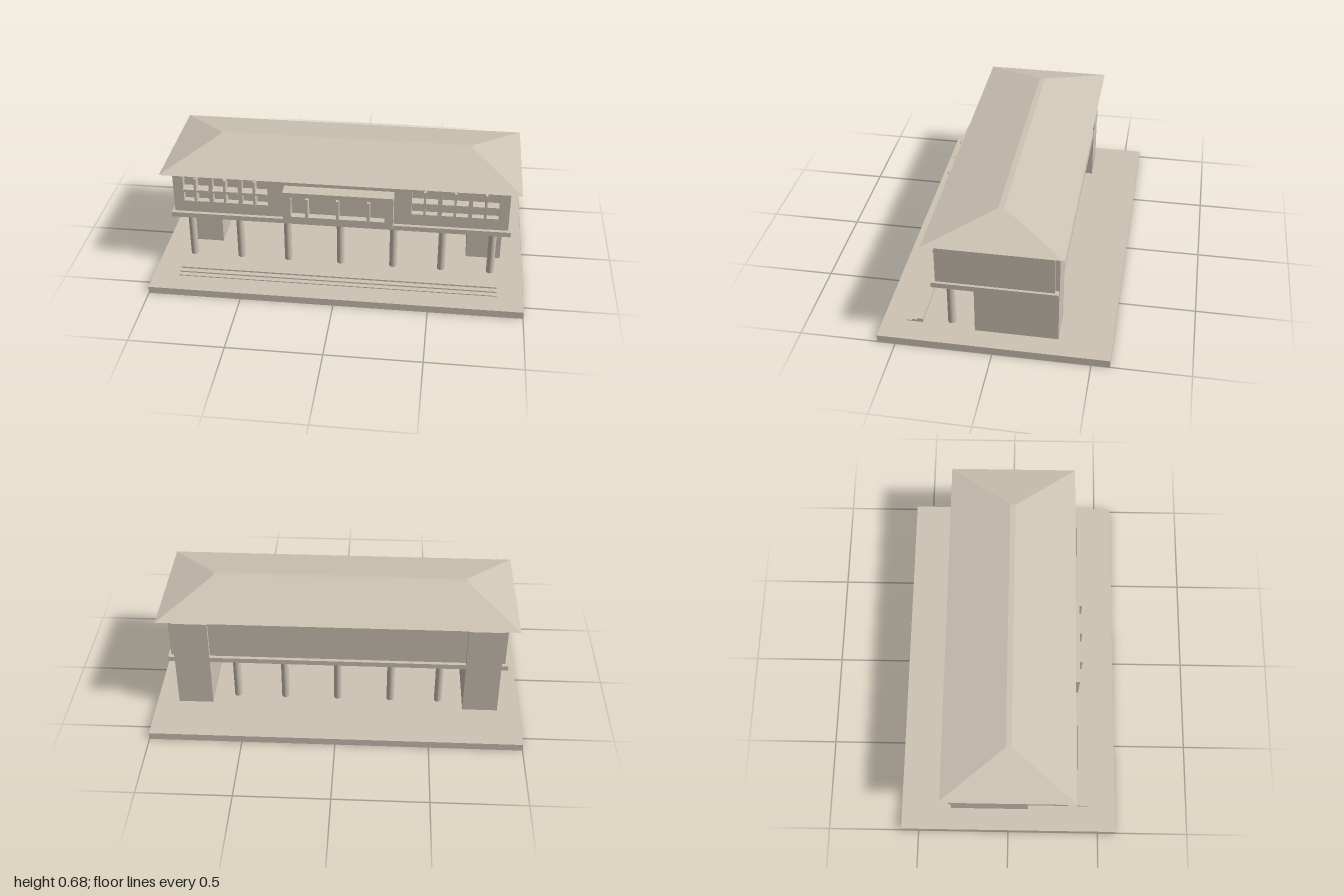
import * as THREE from 'three';

const stone = new THREE.MeshStandardMaterial({ color: 0xcdc4b4 });
stone.name = 'warm stone';

export function createModel() {
  const model = new THREE.Group();
  model.name = 'pavilion';

  const add = (name, geometry) => {
    const mesh = new THREE.Mesh(geometry, stone);
    mesh.name = name;
    model.add(mesh);
    return mesh;
  };
  // Box given by its minimum and maximum on each axis
  const box = (name, x0, x1, y0, y1, z0, z1) => {
    const mesh = add(name, new THREE.BoxGeometry(x1 - x0, y1 - y0, z1 - z0));
    mesh.position.set((x0 + x1) / 2, (y0 + y1) / 2, (z0 + z1) / 2);
    return mesh;
  };
  // Upright plate with rectangular openings, each [x0, x1, y0, y1]
  const trace = (path, [x0, x1, y0, y1]) => {
    path.moveTo(x0, y0);
    path.lineTo(x1, y0);
    path.lineTo(x1, y1);
    path.lineTo(x0, y1);
    path.closePath();
    return path;
  };
  const piercedPlate = (name, outline, openings, z0, z1) => {
    const shape = trace(new THREE.Shape(), outline);
    openings.forEach((o) => shape.holes.push(trace(new THREE.Path(), o)));
    const geometry = new THREE.ExtrudeGeometry(shape, { depth: z1 - z0, bevelEnabled: false });
    add(name, geometry).position.z = z0;
  };

  // Ground plinth and the long front steps
  box('plinth', -1, 1, 0, 0.04, -0.595, 0.595);
  box('upperStep', -0.86, 0.86, 0.04, 0.06, 0.387, 0.417);
  box('middleStep', -0.86, 0.86, 0.04, 0.052, 0.417, 0.445);
  box('lowerStep', -0.86, 0.86, 0.04, 0.045, 0.445, 0.472);

  // Columns: seven in front, five between the rear blocks
  const columnX = [-0.825, -0.557, -0.292, 0, 0.292, 0.557, 0.825];
  const column = (name, x, z) =>
    add(name, new THREE.CylinderGeometry(0.021, 0.021, 0.28, 24)).position.set(x, 0.18, z);
  columnX.forEach((x) => column('frontColumn', x, 0.24));
  columnX.slice(1, -1).forEach((x) => column('rearColumn', x, -0.24));

  // Ground-floor end blocks with rear piers rising to the eaves
  for (const s of [-1, 1]) {
    const xs = [s * 0.69, s * 0.88].sort((a, b) => a - b);
    box('endBlock', ...xs, 0.04, 0.32, -0.32, 0.11);
    box('rearPier', ...xs, 0.32, 0.572, -0.322, -0.298);
  }

  // Floor slab and upper storey
  box('floorSlab', -0.915, 0.915, 0.322, 0.35, -0.32, 0.32);
  box('upperStorey', -0.9, 0.9, 0.35, 0.6, -0.3, 0.265);

  // Front wall with recessed windows and projecting cross bars
  const windowX = [-0.775, -0.615, -0.455, 0.455, 0.615, 0.775];
  piercedPlate('frontWall', [-0.9, 0.9, 0.35, 0.6],
    windowX.map((x) => [x - 0.069, x + 0.069, 0.417, 0.566]), 0.265, 0.3);
  for (const x of windowX) {
    box('windowMullion', x - 0.006, x + 0.006, 0.417, 0.566, 0.265, 0.32);
    box('windowTransom', x - 0.069, x + 0.069, 0.483, 0.497, 0.265, 0.319);
  }

  // Central bay with recessed window and fins
  piercedPlate('bayFrame', [-0.293, 0.293, 0.36, 0.548], [[-0.25, 0.25, 0.402, 0.522]], 0.335, 0.374);
  box('bayBack', -0.293, 0.293, 0.36, 0.548, 0.299, 0.335);
  for (const x of [-0.163, 0, 0.163])
    box('bayFin', x - 0.007, x + 0.007, 0.402, 0.522, 0.335, 0.39);

  // Hipped roof: a box whose upper face is drawn in to a narrow ridge
  const roof = new THREE.BoxGeometry(2, 1, 2);
  const p = roof.attributes.position;
  for (let i = 0; i < p.count; i++) {
    const top = p.getY(i) > 0;
    p.setXYZ(i, p.getX(i) * (top ? 0.69 : 0.957), top ? 0.682 : 0.597, p.getZ(i) * (top ? 0.015 : 0.35));
  }
  roof.computeVertexNormals();
  add('hippedRoof', roof);

  return model;
}
